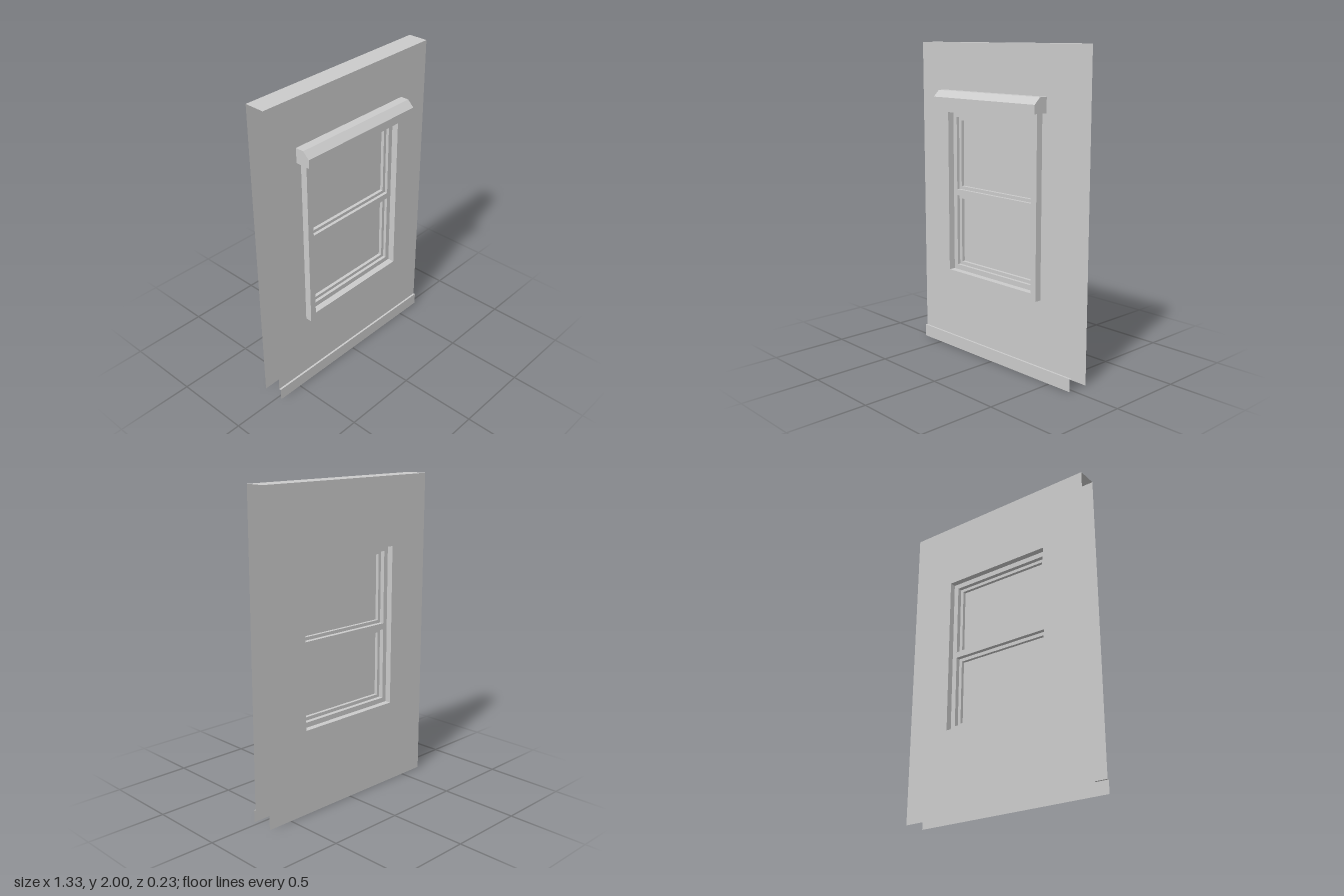
import * as THREE from 'three';
import { mergeGeometries } from 'three/addons/utils/BufferGeometryUtils.js';

const material = new THREE.MeshStandardMaterial({ color: 0xcccccc, side: THREE.DoubleSide });

// Rectangles are symmetric in x: half width, bottom, top
const rect = (w, y0, y1) => ({ w, y0, y1 });
const corners = ({ w, y0, y1 }) => [[-w, y0], [w, y0], [w, y1], [-w, y1]];
const toPath = (r, Type) => new Type(corners(r).map(([x, y]) => new THREE.Vector2(x, y)));

// Flat plate with rectangular holes, facing the front or the back
function plate(outer, holes, z, back = false) {
  const shape = toPath(outer, THREE.Shape);
  shape.holes = holes.map((h) => toPath(h, THREE.Path));
  const g = new THREE.ShapeGeometry(shape).toNonIndexed();
  if (back) g.rotateY(Math.PI);
  g.deleteAttribute('uv');
  return g.translate(0, 0, z);
}

// Four-sided ribbon between two depths: faces inward when zA > zB, outward otherwise
function reveal(r, zA, zB) {
  const c = corners(r), pos = [];
  c.forEach(([ax, ay], i) => {
    const [bx, by] = c[(i + 1) % 4];
    pos.push(ax, ay, zA, bx, by, zA, bx, by, zB, ax, ay, zA, bx, by, zB, ax, ay, zB);
  });
  const g = new THREE.BufferGeometry();
  g.setAttribute('position', new THREE.Float32BufferAttribute(pos, 3));
  g.computeVertexNormals();
  return g;
}

// Horizontal strip facing up
function ledge(w, y, z0, z1) {
  const g = new THREE.PlaneGeometry(2 * w, z1 - z0).rotateX(-Math.PI / 2).toNonIndexed();
  g.deleteAttribute('uv');
  return g.translate(0, y, (z0 + z1) / 2);
}

export function createModel() {
  const group = new THREE.Group();
  const add = (name, ...parts) => {
    const mesh = new THREE.Mesh(parts.length > 1 ? mergeGeometries(parts) : parts[0], material);
    mesh.name = name;
    group.add(mesh);
  };

  const W = 0.666, BACK = -0.114, FRONT = 0.015, SKIRT = 0.028, SKIRT_H = 0.08;
  const casingOuter = rect(0.411, 0.497, 1.61);
  const opening = rect(0.369, 0.541, 1.567);
  const frameHoles = [rect(0.337, 0.573, 1.033), rect(0.337, 1.072, 1.535)];
  const sashHoles = [rect(0.316, 0.594, 1.011), rect(0.316, 1.092, 1.515)];
  const CASING = 0.058, SASH_F = -0.005, GLASS = -0.026, SASH_B = -0.047, FRAME_B = -0.075;

  // Wall shell, open at the sides and the bottom
  add('wallFront', plate(rect(W, SKIRT_H, 2), [casingOuter], FRONT));
  add('wallBack', plate(rect(W, 0, 2), [opening], BACK, true));
  add('wallTop', ledge(W, 2, BACK, FRONT));
  add('skirting', plate(rect(W, 0, SKIRT_H), [], SKIRT), ledge(W, SKIRT_H, FRONT, SKIRT));

  // Raised casing round the window, and the opening's back reveal
  add('casing', plate(casingOuter, [opening], CASING),
    reveal(casingOuter, FRONT, CASING), reveal(opening, CASING, FRONT));
  add('backReveal', reveal(opening, FRAME_B, BACK));

  // Fixed frame with two lights, faced on both sides
  add('windowFrame', plate(opening, frameHoles, FRONT), plate(opening, frameHoles, FRAME_B, true),
    ...frameHoles.flatMap((h) => [reveal(h, FRONT, SASH_F), reveal(h, SASH_B, FRAME_B)]));

  // Sash and pane in each light
  ['lower', 'upper'].forEach((name, i) => {
    const hole = sashHoles[i];
    add(name + 'Sash', plate(frameHoles[i], [hole], SASH_F),
      plate(frameHoles[i], [hole], SASH_B, true), reveal(hole, SASH_F, SASH_B));
    add(name + 'Pane', plate(hole, [], GLASS));
  });

  // Chamfered hood over the window, profile in (z, y) swept along x
  const profile = [[FRONT, 1.61], [0.112, 1.61], [0.112, 1.663], [0.07, 1.703], [FRONT, 1.703]];
  const hood = new THREE.ExtrudeGeometry(
    new THREE.Shape(profile.map(([z, y]) => new THREE.Vector2(z, y))),
    { depth: 0.888, bevelEnabled: false });
  add('hood', hood.translate(0, 0, -0.444).rotateY(-Math.PI / 2));

  return group;
}
